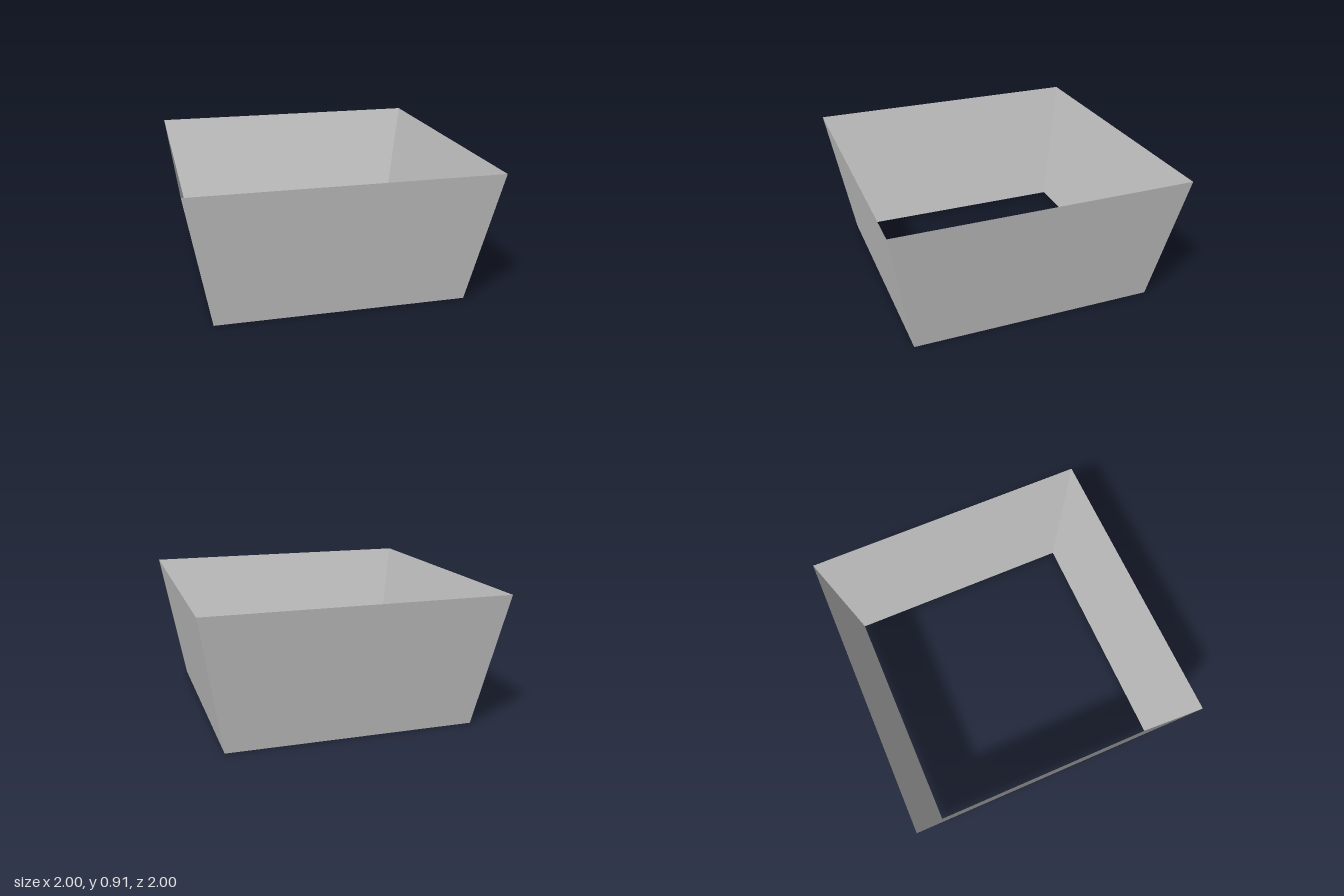
import * as THREE from 'three';

const TOP_HALF = 1;
const BOTTOM_HALF = 0.84;
const HEIGHT = 0.91;

export function createModel() {
  const group = new THREE.Group();
  group.name = 'squarePlanter';

  // Four thin, outward-sloping walls, open at top and bottom
  const geometry = new THREE.CylinderGeometry(
    TOP_HALF * Math.SQRT2, BOTTOM_HALF * Math.SQRT2, HEIGHT, 4, 1, true, Math.PI / 4
  );
  geometry.translate(0, HEIGHT / 2, 0);

  const material = new THREE.MeshStandardMaterial({
    color: 0xcccccc, flatShading: true, side: THREE.DoubleSide
  });
  const walls = new THREE.Mesh(geometry, material);
  walls.name = 'slopedWalls';
  group.add(walls);

  return group;
}
